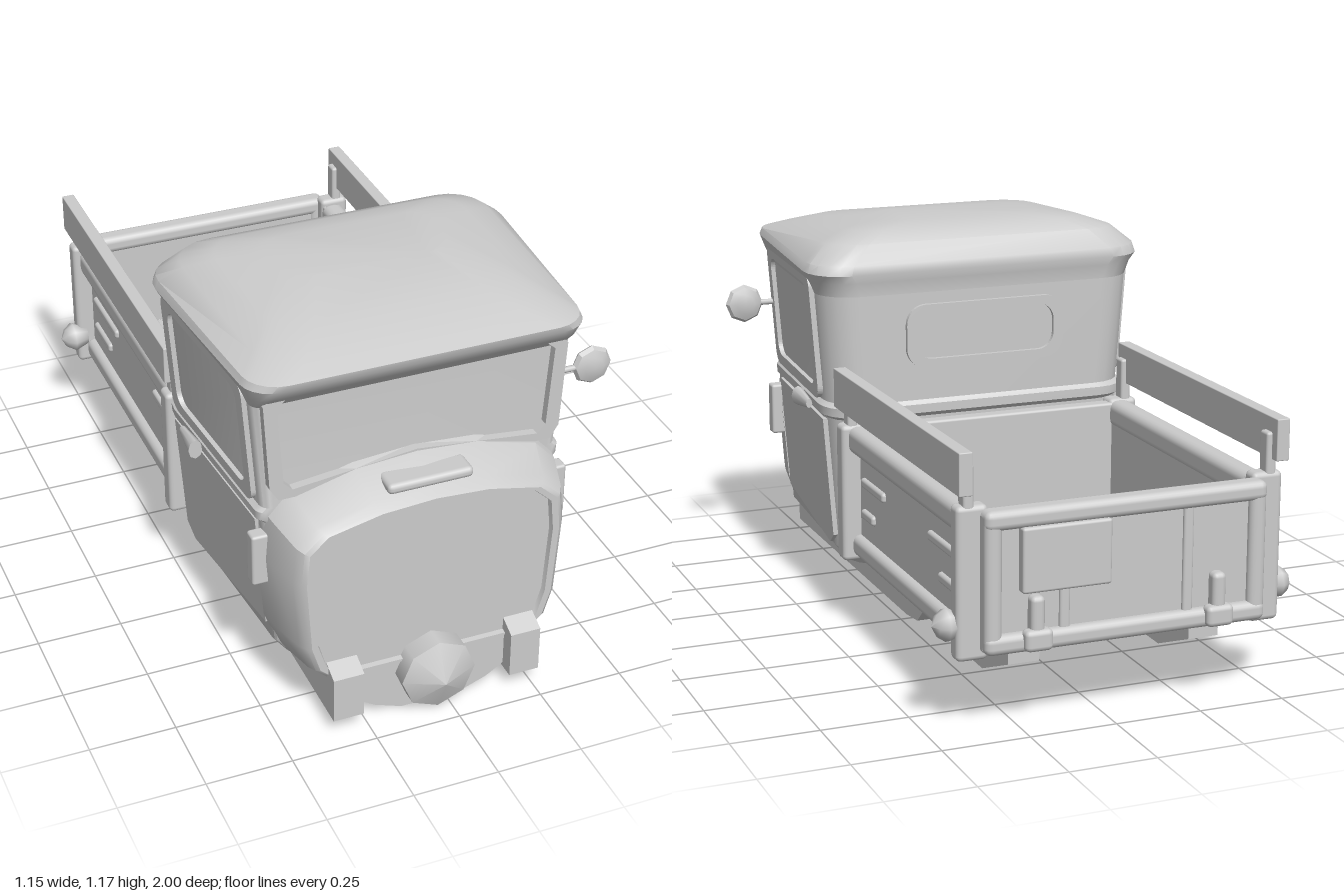
import * as THREE from 'three';
import { toCreasedNormals } from 'three/addons/utils/BufferGeometryUtils.js';
import { RoundedBoxGeometry } from 'three/addons/geometries/RoundedBoxGeometry.js';

const mat = new THREE.MeshStandardMaterial({ color: 0xcccccc });

// skin a list of closed rings and cap both ends
function loft(rings) {
  const n = rings[0].length, idx = [], last = (rings.length - 1) * n;
  for (let i = 0; i < rings.length - 1; i++) for (let j = 0; j < n; j++) {
    const a = i * n + j, b = i * n + (j + 1) % n;
    idx.push(a, b, b + n, a, b + n, a + n);
  }
  for (let j = 1; j < n - 1; j++) idx.push(0, j + 1, j, last, last + j, last + j + 1);
  const g = new THREE.BufferGeometry().setFromPoints(rings.flat());
  g.setIndex(idx);
  return toCreasedNormals(g, 0.6);
}

// half-width of the cab side at a height and depth
const wall = (y, z) => 0.445 + 0.075 * (y - 0.2) - 0.07 * (z - 0.1);

// horizontal rounded outline that follows the cab side
function cabRing(y, out, zf, zb, rf, rb, tilt = 0) {
  const pts = [];
  for (let c = 0; c < 4; c++) for (let k = 0; k <= 5; k++) {
    const a = (c + k / 5) * Math.PI / 2, front = c === 0 || c === 3, r = front ? rf : rb;
    const z = front ? zf - r + r * Math.cos(a) : zb + r + r * Math.cos(a);
    const x = wall(y, z) + out - r * (1 - Math.abs(Math.sin(a)));
    pts.push(new THREE.Vector3(c < 2 ? x : -x, y - tilt * (z - 0.3), z));
  }
  return pts;
}

const poly = (pts) => new THREE.Shape(pts.map(p => new THREE.Vector2(...p)));
const both = (half) => [...half, ...half.filter(p => p[0] > 0).reverse().map(([x, y]) => [-x, y])];

function roundRect(cx, cy, w, h, r) {
  const s = new THREE.Shape(), x = w / 2 - r, y = h / 2 - r, q = Math.PI / 2;
  s.absarc(cx + x, cy + y, r, 0, q).absarc(cx - x, cy + y, r, q, 2 * q);
  s.absarc(cx - x, cy - y, r, 2 * q, 3 * q).absarc(cx + x, cy - y, r, 3 * q, 4 * q);
  return s;
}

const extrude = (shape, depth) => new THREE.ExtrudeGeometry(shape, { depth, bevelEnabled: false, curveSegments: 5 });
// shape drawn in (z, y), thickness from x0 outward
const sideExtrude = (shape, depth, x0) => extrude(shape, depth).rotateY(-Math.PI / 2).translate(x0 + depth, 0, 0);

// lay a side panel against the sloping cab side
function onWall(shape, depth) {
  const g = sideExtrude(shape, depth + 0.01, -0.01), p = g.attributes.position;
  for (let i = 0; i < p.count; i++) p.setX(i, p.getX(i) + wall(p.getY(i), p.getZ(i)));
  g.computeVertexNormals();
  return g;
}

function mirrored(geo) {
  const g = (geo.index ? geo.toNonIndexed() : geo.clone()).scale(-1, 1, 1);
  for (const a of Object.values(g.attributes)) for (let i = 0; i < a.count; i += 3) for (let k = 0; k < a.itemSize; k++) {
    const t = a.getComponent(i + 1, k);
    a.setComponent(i + 1, k, a.getComponent(i + 2, k));
    a.setComponent(i + 2, k, t);
  }
  return g;
}

export function createModel() {
  const root = new THREE.Group(), truck = new THREE.Group();
  root.name = 'truck';
  truck.name = 'truckBody';
  truck.position.x = -0.045;
  root.add(truck);

  const add = (name, geo) => {
    const m = new THREE.Mesh(geo, mat);
    m.name = name;
    truck.add(m);
  };
  const pair = (name, geo) => { add(name + 'Left', geo); add(name + 'Right', mirrored(geo)); };
  // box given by its limits
  const box = (x0, x1, y0, y1, z0, z1, r = 0.008) =>
    new RoundedBoxGeometry(x1 - x0, y1 - y0, z1 - z0, 2, r).translate((x0 + x1) / 2, (y0 + y1) / 2, (z0 + z1) / 2);
  const rodZ = (r1, r2, z0, z1, seg = 8) =>
    new THREE.CylinderGeometry(r1, r2, z1 - z0, seg).rotateX(Math.PI / 2).translate(0, 0, (z0 + z1) / 2);

  // cab shell with belt moulding
  add('cab', loft([[0.15, -0.035], [0.2, 0], [0.61, 0], [0.622, 0.014], [0.648, 0.014], [0.66, 0], [1.03, 0]]
    .map(([y, o]) => cabRing(y, o, 0.745, 0.06 - o * 0.7, 0.03, 0.12))));

  // crowned roof with visor
  add('roof', loft([
    [0.985, 0, 0.745, 0.06, 0.03, 0.12, 0], [1.025, 0.012, 0.785, 0.058, 0.05, 0.12, 0],
    [1.055, 0.025, 0.815, 0.05, 0.08, 0.12, -0.02], [1.08, 0.015, 0.82, 0.055, 0.09, 0.12, -0.01],
    [1.125, -0.045, 0.765, 0.09, 0.1, 0.12, 0.04], [1.155, -0.13, 0.65, 0.15, 0.1, 0.1, 0.04],
    [1.172, -0.25, 0.45, 0.22, 0.08, 0.08, 0.02],
  ].map(r => cabRing(...r))));

  // nose, blending into the cowl, with a recessed face
  const nose = both([[0.3, 0.16], [0.345, 0.2], [0.37, 0.28], [0.385, 0.5], [0.375, 0.6], [0.32, 0.65], [0.16, 0.685], [0, 0.695]]);
  add('nose', loft([[0.7, 1.14, 1, 0.08], [0.775, 1.11, 1, 0.062], [0.87, 1.04, 1, 0.012], [0.895, 1, 1, 0],
    [0.905, 0.97, 0.98, 0], [0.905, 0.92, 0.95, 0], [0.89, 0.91, 0.94, 0]]
    .map(([z, sx, sy, lift]) => nose.map(([x, y]) =>
      new THREE.Vector3(x * sx, 0.42 + (y - 0.42) * sy + lift * Math.max(0, (y - 0.5) / 0.195), z)))));
  add('cowlVent', box(-0.125, 0.125, 0.705, 0.737, 0.79, 0.872, 0.014));

  // windshield frame
  const shield = poly(both([[0.4, 0.7], [0.425, 0.74], [0.44, 1.0], [0.39, 1.05], [0, 1.07], [0, 0.72]].slice(0, 5)));
  shield.holes.push(poly(both([[0.36, 0.725], [0.385, 0.75], [0.402, 0.99], [0.36, 1.025], [0, 1.045]])
    .concat([[0, 0.765]])));
  add('windshieldFrame', extrude(shield, 0.035).translate(0, 0, 0.735));

  // doors, side windows, handles and hinges
  const frame = roundRect(0.435, 0.85, 0.54, 0.38, 0.04);
  frame.holes.push(roundRect(0.435, 0.85, 0.46, 0.31, 0.04));
  pair('doorWindowFrame', onWall(frame, 0.014));
  pair('doorPanel', onWall(poly([[0.7, 0.25], [0.7, 0.605], [0.15, 0.605], [0.15, 0.24], [0.2, 0.205]]), 0.01));
  pair('doorHandle', rodZ(0.03, 0.014, 0.25, 0.36).scale(0.7, 1, 1).translate(0.492, 0.63, 0));
  pair('doorHinge', box(0.405, 0.47, 0.42, 0.58, 0.705, 0.75));

  // rear window
  const rear = roundRect(0, 0.855, 0.5, 0.19, 0.06);
  rear.holes.push(roundRect(0, 0.855, 0.44, 0.14, 0.05));
  add('rearWindowFrame', extrude(rear, 0.02).translate(0, 0, 0.047));

  // side mirror
  add('mirrorArm', new THREE.CylinderGeometry(0.009, 0.009, 0.12, 8).rotateZ(Math.PI / 2).translate(0.48, 0.857, 0.69));
  add('mirror', toCreasedNormals(new THREE.SphereGeometry(0.06, 8, 6).rotateX(Math.PI / 2).scale(1, 1, 0.4), 0.6)
    .translate(0.56, 0.857, 0.69));

  // chassis rails with rear axle cutout
  const rail = poly([[0.945, 0.05], [0.945, 0.19], [0.88, 0.22], [-0.885, 0.24], [-0.885, 0.165], [-0.7, 0.09],
    [-0.61, 0.09], [-0.505, 0.195], [-0.34, 0.195], [-0.19, 0.06], [-0.1, 0.05]]);
  pair('chassisRail', sideExtrude(rail, 0.09, 0.222));
  const pan = poly(both([[0, 0], [0.09, 0], [0.17, 0.03], [0.21, 0.055], [0.27, 0.1], [0.3, 0.17], [0, 0.2]].slice(1, 6)));
  add('frontPan', extrude(pan, 0.09).translate(0, 0, 0.81));
  add('crossMember', box(-0.23, 0.23, 0.1, 0.18, 0.02, 0.1));
  add('rearCrossMember', box(-0.23, 0.23, 0.14, 0.22, -0.15, -0.11));

  // front coupling and drive shaft
  add('couplingBody', rodZ(0.11, 0.11, 0.74, 0.95).translate(0, 0.125, 0));
  add('couplingCone', toCreasedNormals(rodZ(0, 0.11, 0.95, 1.0), 0.5).translate(0, 0.125, 0));
  add('driveShaft', rodZ(0.024, 0.024, 0.1, 0.76, 12).translate(0, 0.125, 0));

  // cargo bed
  add('bedFloor', box(-0.4, 0.4, 0.235, 0.28, -0.92, 0.04));
  for (const x of [-0.25, -0.08, 0.09, 0.26]) add('floorRib', box(x - 0.01, x + 0.01, 0.27, 0.288, -0.8, -0.08));
  add('bedFrontWall', box(-0.42, 0.42, 0.23, 0.61, -0.012, 0.035));
  pair('bedSide', box(0.39, 0.42, 0.235, 0.61, -0.9, 0.03));
  pair('bedTopRoll', box(0.385, 0.455, 0.535, 0.615, -0.89, 0.02, 0.025));
  pair('bedBottomRoll', box(0.39, 0.445, 0.22, 0.285, -0.89, 0.02, 0.022));
  for (const [z0, z1, y] of [[-0.23, -0.04, 0.455], [-0.14, -0.04, 0.36], [-0.83, -0.59, 0.455], [-0.83, -0.67, 0.36]])
    pair('sideRib', box(0.41, 0.432, y - 0.015, y + 0.015, z0, z1, 0.01));
  pair('bedFrontPost', box(0.385, 0.475, 0.205, 0.62, -0.01, 0.053, 0.015));
  pair('bedRearPost', box(0.385, 0.475, 0.205, 0.63, -0.93, -0.875, 0.015));
  for (const z of [0.018, -0.905]) pair('boardPost', box(0.425, 0.455, 0.58, 0.74, z - 0.022, z + 0.022));
  pair('sideBoard', box(0.44, 0.478, 0.665, 0.782, -0.955, 0.055, 0.003));

  // tailgate with raised border, plate and latches
  add('tailgate', box(-0.41, 0.41, 0.23, 0.61, -0.95, -0.92));
  for (const [y0, y1] of [[0.225, 0.28], [0.565, 0.62]]) add('tailgateRail', box(-0.41, 0.41, y0, y1, -0.975, -0.91, 0.02));
  pair('tailgateEdge', box(0.36, 0.41, 0.225, 0.62, -0.972, -0.91, 0.02));
  pair('tailgateBar', box(0.165, 0.195, 0.27, 0.58, -0.96, -0.93));
  add('plate', box(0.055, 0.31, 0.39, 0.57, -0.982, -0.945));
  pair('latch', box(0.225, 0.305, 0.23, 0.29, -0.995, -0.95, 0.015));
  pair('latchPin', box(0.245, 0.285, 0.25, 0.38, -0.985, -0.94, 0.015));

  // tail lights
  pair('tailLight', new THREE.LatheGeometry([[0, -0.05], [0.03, -0.045], [0.047, 0], [0.03, 0.025], [0, 0.04]]
    .map(p => new THREE.Vector2(...p)), 8).rotateZ(-Math.PI / 2).translate(0.49, 0.3, -0.885));

  return root;
}
